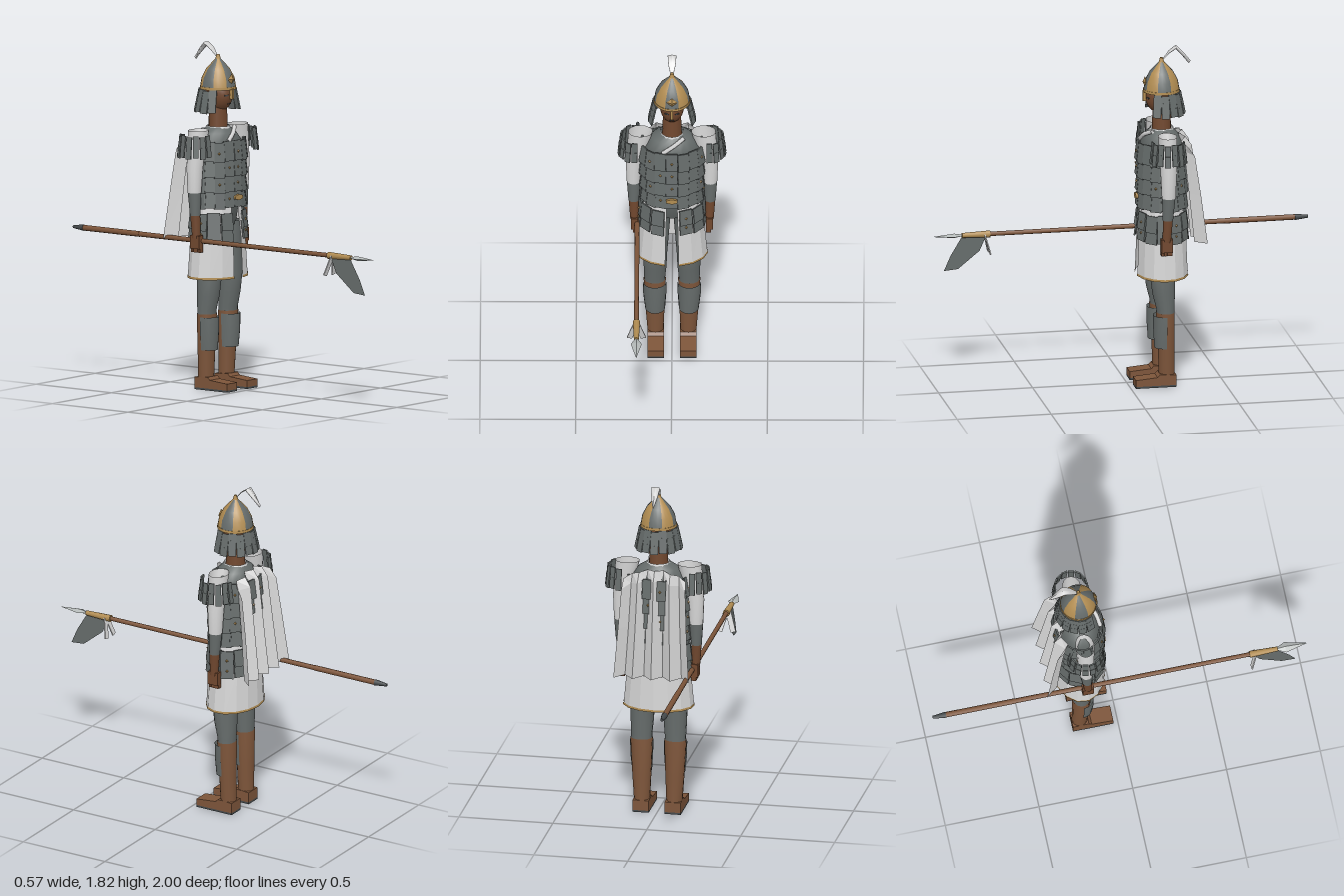
import * as THREE from 'three';

const mat = (name, color, extra = {}) =>
  Object.assign(new THREE.MeshStandardMaterial({ color, side: THREE.DoubleSide, ...extra }), { name });
const steel = mat('steel grey', 0x666c6b);
const cloth = mat('pale cloth', 0xd6d6d6);
const leather = mat('brown leather', 0x7d553a);
const skin = mat('brown skin', 0x71482f);
const gold = mat('dull gold', 0xb28d52);
const dark = mat('dark iron', 0x44494b);
const blade = mat('bright blade', 0xb4b9b8);

const CZ = -0.185; // depth of the body axis

function add(parent, name, geo, material, x = 0, y = 0, z = 0) {
  const m = new THREE.Mesh(geo, material);
  m.name = name;
  m.position.set(x, y, z);
  parent.add(m);
  return m;
}

// Surface through elliptical rings [x, y, z, rx, rz], listed from bottom to top
function loft(rings, { segs = 14, a0 = 0, a1 = Math.PI * 2, flat = false } = {}) {
  const pos = [], idx = [];
  const closed = a1 - a0 > 6.28;
  const n = closed ? segs : segs + 1;
  for (const [x, y, z, rx, rz] of rings) {
    for (let j = 0; j < n; j++) {
      const a = a0 + (a1 - a0) * j / segs;
      pos.push(x + rx * Math.sin(a), y, z + rz * Math.cos(a));
    }
  }
  for (let i = 0; i < rings.length - 1; i++) {
    for (let j = 0; j < segs; j++) {
      const a = i * n + j, b = i * n + (j + 1) % n;
      idx.push(a, b, b + n, a, b + n, a + n);
    }
  }
  let g = new THREE.BufferGeometry();
  g.setAttribute('position', new THREE.Float32BufferAttribute(pos, 3));
  g.setIndex(idx);
  if (flat) g = g.toNonIndexed();
  g.computeVertexNormals();
  return g;
}

// Row of hanging armour plates round an ellipse; angle 0 is the front, in degrees
function plateRow(parent, name, o) {
  const geo = new THREE.BoxGeometry(o.w, o.h, 0.008).translate(0, -o.h / 2, 0);
  for (let i = 0; i < o.count; i++) {
    const a = THREE.MathUtils.degToRad(o.from + (o.to - o.from) * i / (o.count - 1));
    const p = add(parent, name, geo, steel,
      (o.x || 0) + o.rx * Math.sin(a), o.y - (i % 2) * 0.006, CZ + o.rz * Math.cos(a));
    p.rotation.order = 'YXZ';
    p.rotation.y = Math.atan2(Math.sin(a) / o.rx, Math.cos(a) / o.rz);
    p.rotation.x = -o.tilt;
    if (o.stud && i % o.stud === 0) {
      add(p, 'stud', new THREE.OctahedronGeometry(0.008), gold, 0, -o.h * 0.55, 0.005);
    }
  }
}

// Flat outline given as [z, y], lying in the side plane
function sideShape(points) {
  return new THREE.Shape(points.map(p => new THREE.Vector2(...p)));
}

function buildLeg(g, s) {
  add(g, 'leg', loft([[s * 0.09, 0.36, -0.19, 0.055, 0.046], [s * 0.09, 0.42, -0.188, 0.056, 0.048],
    [s * 0.088, 0.5, -0.18, 0.061, 0.06], [s * 0.087, 0.6, -0.174, 0.064, 0.067], [s * 0.07, 0.88, -0.18, 0.067, 0.075]]), steel);
  add(g, 'bootShaft', loft([[s * 0.086, 0.04, -0.197, 0.041, 0.042], [s * 0.088, 0.2, -0.193, 0.05, 0.044],
    [s * 0.09, 0.4, -0.188, 0.059, 0.05], [s * 0.09, 0.4, -0.188, 0.05, 0.04]]), leather);
  add(g, 'greave', loft([[s * 0.088, 0.21, -0.185, 0.052, 0.055], [s * 0.09, 0.3, -0.185, 0.06, 0.061],
    [s * 0.09, 0.385, -0.185, 0.062, 0.062]], { segs: 8, a0: -1.6, a1: 1.6 }), steel);
  const foot = new THREE.ExtrudeGeometry(sideShape([[-0.24, 0.01], [-0.025, 0.01], [-0.025, 0.045], [-0.14, 0.055],
    [-0.155, 0.07], [-0.24, 0.065]]), { depth: 0.086, bevelEnabled: false });
  add(g, 'foot', foot.rotateY(-Math.PI / 2), leather, s * 0.085 + 0.043, 0, 0);
  add(g, 'sole', new THREE.BoxGeometry(0.086, 0.01, 0.215), dark, s * 0.085, 0.005, -0.1325);
}

function buildArm(g, s) {
  add(g, 'sleeve', loft([[s * 0.2, 1.05, CZ, 0.037, 0.037], [s * 0.197, 1.18, CZ, 0.045, 0.043],
    [s * 0.165, 1.375, CZ, 0.064, 0.05]]), cloth);
  add(g, 'bracer', loft([[s * 0.2, 0.93, CZ + 0.005, 0.028, 0.028], [s * 0.2, 1.06, CZ, 0.037, 0.036]]), steel);
  add(g, 'forearm', loft([[s * 0.197, 0.81, CZ + 0.01, 0.021, 0.022], [s * 0.2, 0.935, CZ + 0.005, 0.027, 0.027]]), skin);
  add(g, 'palm', new THREE.BoxGeometry(0.036, 0.07, 0.06), skin, s * 0.195, 0.79, -0.175);
  for (let i = 0; i < 4; i++) {
    add(g, 'finger', new THREE.BoxGeometry(0.026, 0.05, 0.013), skin, s * 0.19, 0.76, -0.153 - i * 0.015);
  }
  for (const [y, h, r] of [[1.355, 0.065, 0.078], [1.3, 0.06, 0.085]]) {
    plateRow(g, 'shoulderPlate', { count: 8, from: s * 5, to: s * 175, x: s * 0.188, rx: r, rz: r + 0.004, y, w: 0.03, h, tilt: 0.1 });
  }
}

function buildTorso(g) {
  add(g, 'torso', loft([[0, 0.84, CZ, 0, 0], [0, 0.86, CZ, 0.11, 0.08], [0, 1.0, CZ, 0.13, 0.1], [0, 1.15, CZ, 0.145, 0.11],
    [0, 1.3, CZ, 0.147, 0.11], [0, 1.35, CZ, 0.105, 0.085], [0, 1.378, CZ, 0.06, 0.058]], { segs: 18 }), steel);
  add(g, 'collar', loft([[0, 1.35, CZ, 0.075, 0.072], [0, 1.382, CZ, 0.06, 0.062]], { segs: 12 }), cloth);
  const fold = new THREE.CatmullRomCurve3([[0.062, 1.375, -0.125], [0.01, 1.348, -0.092], [-0.05, 1.31, -0.078]]
    .map(p => new THREE.Vector3(...p)));
  add(g, 'crossedScarf', new THREE.TubeGeometry(fold, 6, 0.012, 5), cloth);
  for (let i = 0; i < 4; i++) {
    plateRow(g, 'bodyPlate', { count: 17, from: 0, to: 360 - 360 / 17, rx: 0.163 - i * 0.003, rz: 0.122 - i * 0.001,
      y: 1.315 - i * 0.082, w: 0.06, h: 0.105, tilt: 0.12, stud: i % 2 ? 4 : 3 });
  }
  add(g, 'buckle', new THREE.CylinderGeometry(0.035, 0.035, 0.012, 6).rotateX(Math.PI / 2).scale(1, 0.45, 1), gold, 0, 1.015, -0.05);

  // Split skirt with gold hem
  const skirt = { segs: 14, a0: 0.19, a1: Math.PI * 2 - 0.19, flat: true };
  add(g, 'skirt', loft([[0, 0.59, CZ, 0.187, 0.137], [0, 0.8, CZ, 0.168, 0.129], [0, 1.0, CZ, 0.135, 0.107]], skirt), cloth);
  add(g, 'hem', loft([[0, 0.588, CZ, 0.19, 0.14], [0, 0.6, CZ, 0.189, 0.139]], skirt), gold);
  for (const [y, h] of [[0.94, 0.09], [0.885, 0.095]]) {
    plateRow(g, 'hipPlate', { count: 12, from: 26, to: 334, rx: 0.162, rz: 0.125, y, w: 0.068, h, tilt: 0.13, stud: 3 });
  }

  // Folded cape, fanning out to the bottom
  const rows = [[1.36, 0.165, -0.265, 0.03], [1.31, 0.17, -0.28, 0.05], [1.05, 0.182, -0.305, 0.055], [0.79, 0.2, -0.33, 0.062]];
  const folds = 8;
  let cape = new THREE.PlaneGeometry(1, 1, folds, rows.length - 1);
  rows.forEach(([y, half, z, depth], r) => {
    for (let j = 0; j <= folds; j++) {
      const u = j / (folds / 2) - 1;
      cape.attributes.position.setXYZ(r * (folds + 1) + j, u * half, y - (r < 2 ? 0.05 * u * u : 0), z - (j % 2 ? 0 : depth));
    }
  });
  cape = cape.toNonIndexed();
  cape.computeVertexNormals();
  add(g, 'cape', cape, cloth);
}

function buildHead(g) {
  add(g, 'neck', new THREE.CylinderGeometry(0.046, 0.052, 0.16, 12), skin, 0, 1.43, CZ);
  add(g, 'head', new THREE.SphereGeometry(1, 16, 12).scale(0.064, 0.092, 0.078), skin, 0, 1.55, -0.178);
  for (const s of [-1, 1]) {
    add(g, 'eye', new THREE.BoxGeometry(0.022, 0.007, 0.006), dark, s * 0.027, 1.548, -0.108).rotation.y = s * 0.35;
  }
  add(g, 'mouth', new THREE.BoxGeometry(0.024, 0.004, 0.006), dark, 0, 1.502, -0.112);
  add(g, 'noseGuard', new THREE.BoxGeometry(0.013, 0.055, 0.022), gold, 0, 1.555, -0.096);

  // Helmet of alternating wedges
  const profile = [[0.094, 1.585], [0.086, 1.635], [0.062, 1.682], [0.032, 1.715], [0.013, 1.735]].map(p => new THREE.Vector2(...p));
  for (let i = 0; i < 8; i++) {
    add(g, 'helmetPanel', new THREE.LatheGeometry(profile, 3, (i - 0.5) * Math.PI / 4, Math.PI / 4), i % 2 ? gold : steel, 0, 0, CZ);
  }
  add(g, 'brim', new THREE.CylinderGeometry(0.095, 0.096, 0.014, 24), gold, 0, 1.584, CZ);
  add(g, 'finial', new THREE.CylinderGeometry(0.008, 0.016, 0.03, 10), gold, 0, 1.742, CZ);
  add(g, 'browDiamond', new THREE.OctahedronGeometry(1).scale(0.028, 0.028, 0.012), gold, 0, 1.632, -0.097);
  [0.096, 0.104, 0.112].forEach((r, i) => {
    plateRow(g, 'neckGuard', { count: 11, from: 68, to: 292, rx: r, rz: r, y: 1.578 - i * 0.036, w: 0.042, h: 0.046, tilt: 0.2 });
  });

  // Plume bending backwards, as a flattened tapering strip
  const path = [[1.75, -0.195, 0.01], [1.785, -0.225, 0.022], [1.81, -0.262, 0.026], [1.775, -0.295, 0.02], [1.725, -0.335, 0.003]];
  const plume = new THREE.CylinderGeometry(1, 1, 1, 6, path.length - 1, true);
  const p = plume.attributes.position;
  for (let i = 0; i < p.count; i++) {
    const [y, z, w] = path[Math.floor(i / 7)];
    p.setXYZ(i, p.getX(i) * w, y + p.getZ(i) * 0.007, z - p.getZ(i) * 0.005);
  }
  plume.computeVertexNormals();
  add(g, 'plume', plume, cloth);
}

function buildSpear(g) {
  g.position.set(-0.182, 0.795, 0);
  const rod = (name, r0, r1, z0, z1, m, n = 8) =>
    add(g, name, new THREE.CylinderGeometry(r1, r0, z1 - z0, n).rotateX(Math.PI / 2), m, 0, 0, (z0 + z1) / 2);
  rod('shaft', 0.014, 0.012, -0.94, 0.72, leather);
  rod('grip', 0.015, 0.015, -0.93, -0.56, leather);
  rod('buttCap', 0.008, 0.017, -1, -0.93, dark);
  rod('socket', 0.019, 0.013, 0.69, 0.84, gold);
  const head = new THREE.OctahedronGeometry(1).scale(0.029, 0.012, 0.09);
  const p = head.attributes.position;
  for (let i = 0; i < p.count; i++) if (Math.abs(p.getZ(i)) < 0.01) p.setZ(i, -0.03);
  head.computeVertexNormals();
  add(g, 'spearhead', head, blade, 0, 0, 0.91);
  // Pennant and two ribbon tails
  const flag = new THREE.ShapeGeometry(sideShape([[0.71, -0.01], [0.84, -0.01], [0.9, -0.11], [0.935, -0.19], [0.86, -0.183], [0.745, -0.09]]));
  add(g, 'pennant', flag.rotateY(-Math.PI / 2), steel, -0.005);
  for (const s of [-1, 1]) {
    const tail = add(g, 'ribbonTail', new THREE.BoxGeometry(0.028, 0.11, 0.006).translate(0, -0.055, 0), cloth, s * 0.006, 0, 0.72);
    tail.rotation.set(0.25, 0, s * 0.28);
  }
}

export function createModel() {
  const model = new THREE.Group();
  model.name = 'spearman';
  const part = (name) => {
    const g = new THREE.Group();
    g.name = name;
    model.add(g);
    return g;
  };
  for (const s of [-1, 1]) {
    const side = s > 0 ? 'left' : 'right';
    buildLeg(part(side + 'Leg'), s);
    buildArm(part(side + 'Arm'), s);
  }
  buildTorso(part('body'));
  buildHead(part('headAndHelmet'));
  buildSpear(part('spear'));
  return model;
}
